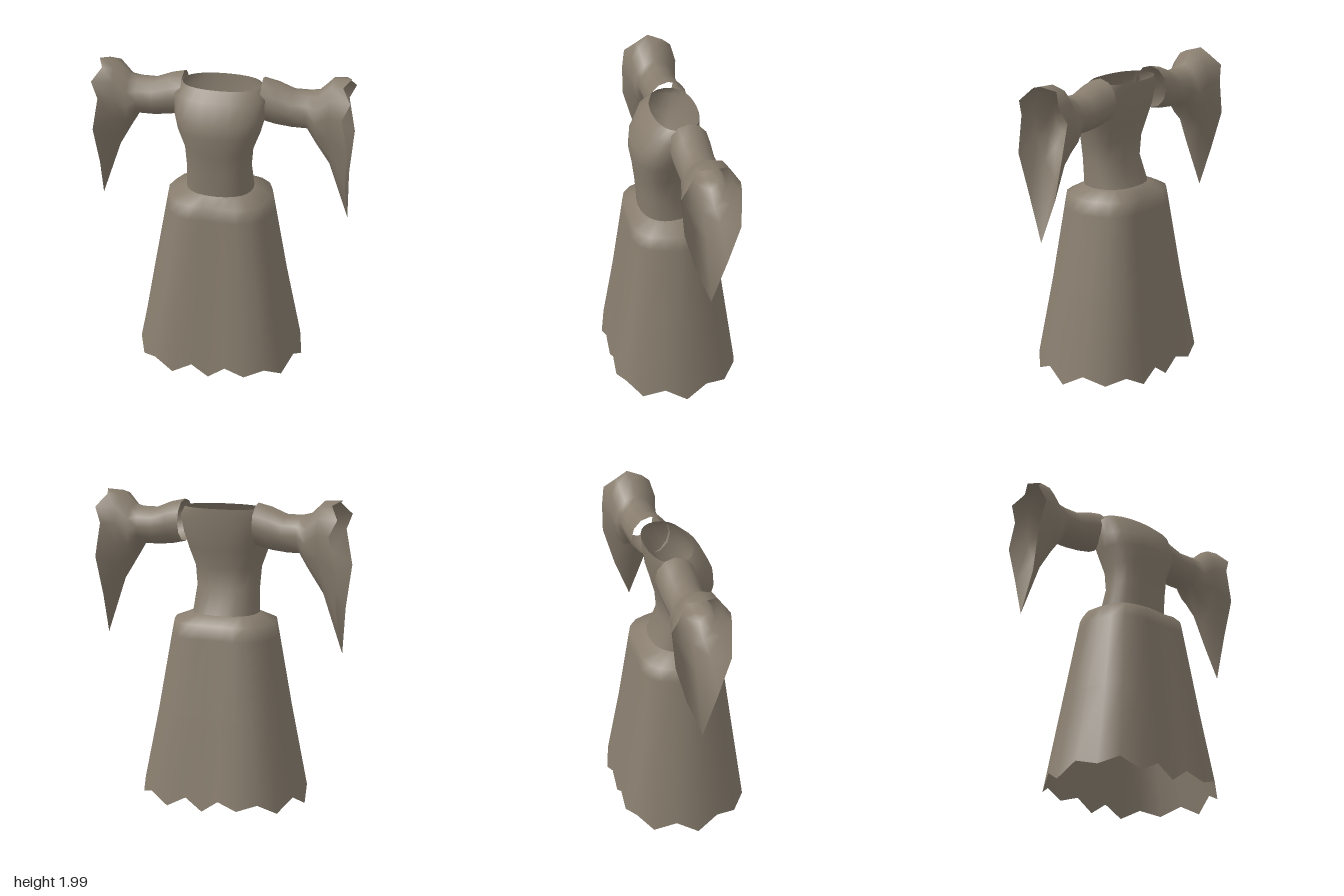
import * as THREE from 'three';

// Skin closed rings of equal point count into one smooth open surface
function loft(rings, material, name) {
  const n = rings[0].length, index = [];
  for (let r = 0; r < rings.length - 1; r++) {
    for (let k = 0; k < n; k++) {
      const a = r * n + k, b = r * n + (k + 1) % n;
      index.push(a, b, b + n, a, b + n, a + n);
    }
  }
  const geometry = new THREE.BufferGeometry();
  geometry.setAttribute('position', new THREE.Float32BufferAttribute(rings.flat(2), 3));
  geometry.setIndex(index);
  geometry.computeVertexNormals();
  const mesh = new THREE.Mesh(geometry, material);
  mesh.name = name;
  return mesh;
}

// Horizontal rounded ring: half width, front z and back z
function bodyRing([y, hx, zf, zb]) {
  const zc = (zf + zb) / 2, hz = (zf - zb) / 2;
  const soft = v => Math.sign(v) * Math.abs(v) ** (2 / 2.3);
  return Array.from({ length: 24 }, (_, k) => {
    const t = k * Math.PI / 12;
    return [hx * soft(Math.sin(t)), y, zc + hz * soft(Math.cos(t))];
  });
}

// Boxy skirt ring from one quarter of its outline
const quarter = [[0, 0.985], [0.2, 0.985], [0.432, 1], [0.66, 0.9], [0.84, 0.68], [0.94, 0.34], [1, 0]];
function skirtRing([y, hx, zf, zb], drop) {
  return Array.from({ length: 24 }, (_, k) => {
    const [px, pz] = quarter[6 - Math.abs(6 - (k % 12))];
    const sx = k <= 12 ? 1 : -1, back = k > 6 && k < 18;
    return [sx * px * hx, drop ? drop[k % 6] : y, back ? pz * zb : pz * zf];
  });
}

const SLEEVE_Z = -0.07;

// Upright elliptical sleeve ring, side = 1 for left, -1 for right
function sleeveRing([x, top, bottom, hw], side) {
  return Array.from({ length: 12 }, (_, k) => {
    const t = k * Math.PI / 6;
    return [side * x, (top + bottom) / 2 + (top - bottom) / 2 * Math.cos(t), SLEEVE_Z + side * hw * Math.sin(t)];
  });
}

// Hanging cuff ring from half an outline of [half width, y, x]
function cuffRing(half, side) {
  return Array.from({ length: 12 }, (_, k) => {
    const [hw, y, x] = half[6 - Math.abs(6 - k)];
    return [side * x, y, SLEEVE_Z + side * hw * (k <= 6 ? 1 : -1)];
  });
}

export function createModel() {
  const model = new THREE.Group();
  model.name = 'dress';
  const cloth = new THREE.MeshStandardMaterial({ color: 0x887d6e, side: THREE.DoubleSide });
  cloth.name = 'taupe cloth';

  // Skirt with ragged hem
  model.add(loft([
    skirtRing([0, 0.555, 0.41, -0.41], [0.01, 0.09, 0.045, 0.09, 0.02, 0.09]),
    skirtRing([0.6, 0.449, 0.335, -0.33]),
    skirtRing([1.1, 0.357, 0.271, -0.263]),
    skirtRing([1.19, 0.34, 0.26, -0.25]),
    bodyRing([1.24, 0.215, 0.19, -0.165]),
  ], cloth, 'skirt'));

  // Fitted bodice, open at the neck
  model.add(loft([
    [1.24, 0.215, 0.19, -0.165],
    [1.4, 0.205, 0.2, -0.1],
    [1.53, 0.215, 0.215, -0.11],
    [1.65, 0.26, 0.235, -0.14],
    [1.74, 0.283, 0.225, -0.165],
    [1.86, 0.293, 0.165, -0.18],
    [1.92, 0.25, 0.1, -0.185],
  ].map(bodyRing), cloth, 'bodice'));

  // Sleeves that flare into pointed hanging cuffs
  const flare = [[0, 1.995, 0.685], [0.085, 1.97, 0.68], [0.135, 1.9, 0.68], [0.155, 1.8, 0.68],
    [0.14, 1.66, 0.68], [0.08, 1.52, 0.68], [0, 1.42, 0.68]];
  const cuffEdge = [[0, 2, 0.795], [0.09, 1.975, 0.755], [0.155, 1.9, 0.81], [0.18, 1.8, 0.765],
    [0.17, 1.58, 0.81], [0.1, 1.32, 0.795], [0, 1.05, 0.81]];
  for (const side of [1, -1]) {
    const rings = [
      [0.25, 1.96, 1.69, 0.125],
      [0.34, 1.94, 1.67, 0.125],
      [0.44, 1.9, 1.66, 0.12],
      [0.54, 1.9, 1.66, 0.122],
      [0.6, 1.915, 1.56, 0.135],
    ].map(r => sleeveRing(r, side));
    rings.push(cuffRing(flare, side), cuffRing(cuffEdge, side));
    model.add(loft(rings, cloth, side > 0 ? 'leftSleeve' : 'rightSleeve'));
  }
  return model;
}
